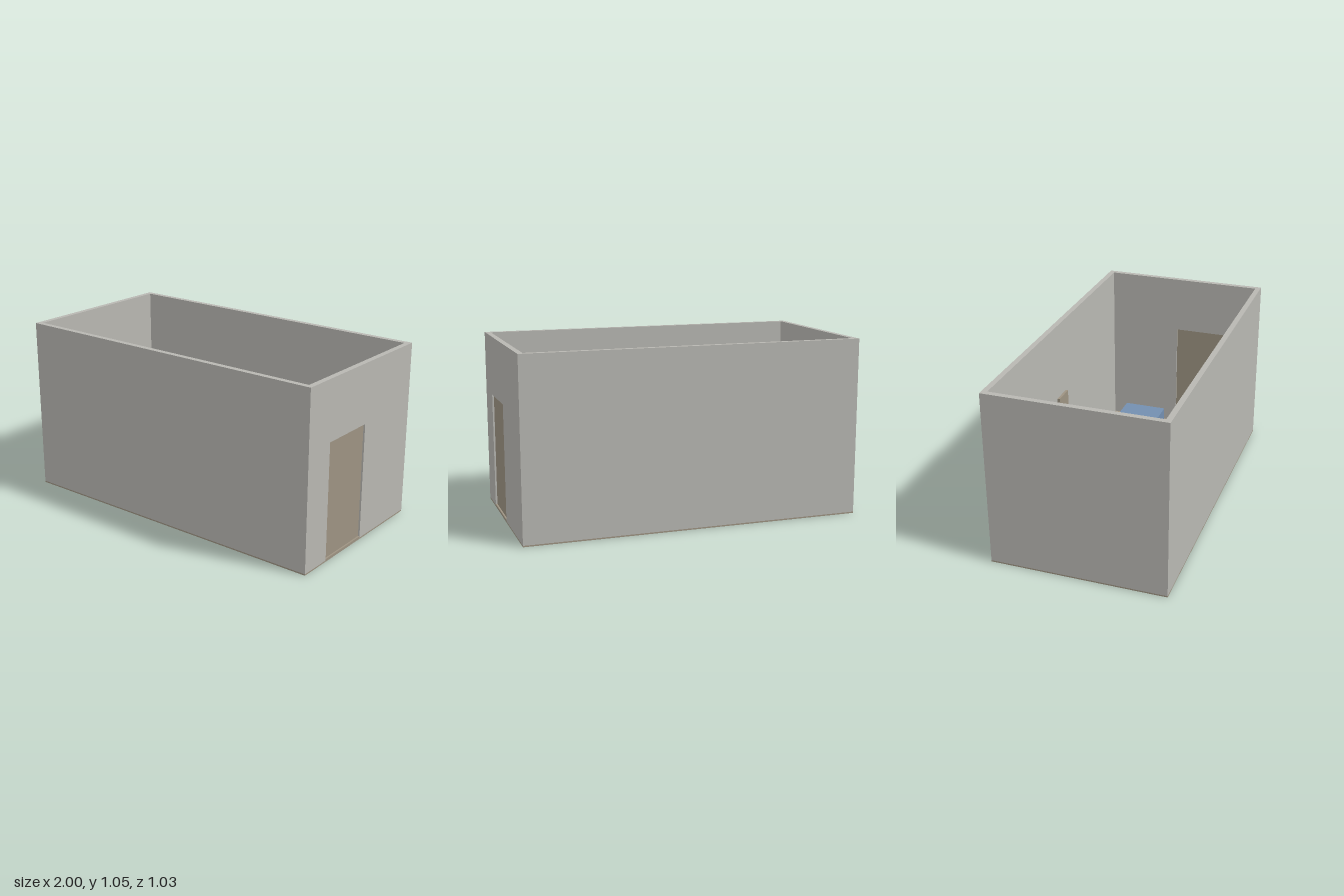
import * as THREE from 'three';

export function createModel() {
  const room = new THREE.Group();
  room.name = 'room';

  const flat = (name, color) => {
    const m = new THREE.MeshStandardMaterial({ color });
    m.name = name;
    return m;
  };
  const wallGrey = flat('wall grey', 0xb8b7b2);
  const woodBeige = flat('wood beige', 0x9d9382);
  const furnitureBlue = flat('furniture blue', 0x738fb0);

  // Axis-aligned block given by its [min, max] range on each axis
  const block = (name, material, [x0, x1], [y0, y1], [z0, z1]) => {
    const mesh = new THREE.Mesh(new THREE.BoxGeometry(x1 - x0, y1 - y0, z1 - z0), material);
    mesh.position.set((x0 + x1) / 2, (y0 + y1) / 2, (z0 + z1) / 2);
    mesh.name = name;
    room.add(mesh);
    return mesh;
  };

  const W = 1, D = 0.517, H = 1.05, T = 0.032, F = 0.008;
  const inX = W - T, inZ = D - T;
  const doorZ = [-0.035, 0.317], doorY = [0.016, 0.697];

  // Floor slab
  block('floor', woodBeige, [-W, W], [0, F], [-D, D]);

  // Plain walls
  block('frontWall', wallGrey, [-W, W], [F, H], [inZ, D]);
  block('backWall', wallGrey, [-W, W], [F, H], [-D, -inZ]);
  block('rightWall', wallGrey, [-W, -inX], [F, H], [-inZ, inZ]);

  // Wall with the doorway cut up from the floor
  const outline = new THREE.Shape([
    [-inZ, F], [doorZ[0], F], [doorZ[0], doorY[1]], [doorZ[1], doorY[1]],
    [doorZ[1], F], [inZ, F], [inZ, H], [-inZ, H],
  ].map(([z, y]) => new THREE.Vector2(z, y)));
  const doorWall = new THREE.Mesh(
    new THREE.ExtrudeGeometry(outline, { depth: T, bevelEnabled: false }), wallGrey);
  doorWall.rotation.y = -Math.PI / 2;
  doorWall.position.x = W;
  doorWall.name = 'doorWall';
  room.add(doorWall);

  // Door leaf set back between both wall faces, over a low threshold
  block('threshold', woodBeige, [inX, W], [F, doorY[0]], doorZ);
  block('door', woodBeige, [W - 0.022, W - 0.01], doorY, doorZ);

  // Panels hung on the long walls
  block('backWallPanel', woodBeige, [-0.08, 0.053], [0.4, 0.594], [-0.477, -0.462]);
  block('frontWallPanel', woodBeige, [-0.925, -0.69], [0.4, 0.6], [0.459, 0.473]);

  // Desks and the boxes standing on them
  block('backDesk', furnitureBlue, [0.208, 0.636], [F, 0.26], [-0.28, -0.017]);
  block('backDeskBox', woodBeige, [0.23, 0.31], [0.26, 0.3], [-0.183, -0.115]);
  block('frontDesk', furnitureBlue, [-0.405, 0.07], [F, 0.26], [0.2, 0.472]);
  block('frontDeskBox', woodBeige, [-0.117, 0.038], [0.26, 0.3], [0.218, 0.32]);

  // Low cabinet under the front panel
  block('cabinet', furnitureBlue, [-0.907, -0.464], [F, 0.26], [0.29, 0.468]);

  // Seats: one against the back desk, one turned away from the front desk
  block('backSeat', furnitureBlue, [0.005, 0.208], [F, 0.23], [-0.243, -0.06]);
  const turned = block('turnedSeat', furnitureBlue, [-0.27, -0.07], [F, 0.23], [-0.041, 0.153]);
  turned.rotation.y = THREE.MathUtils.degToRad(32);

  return room;
}
